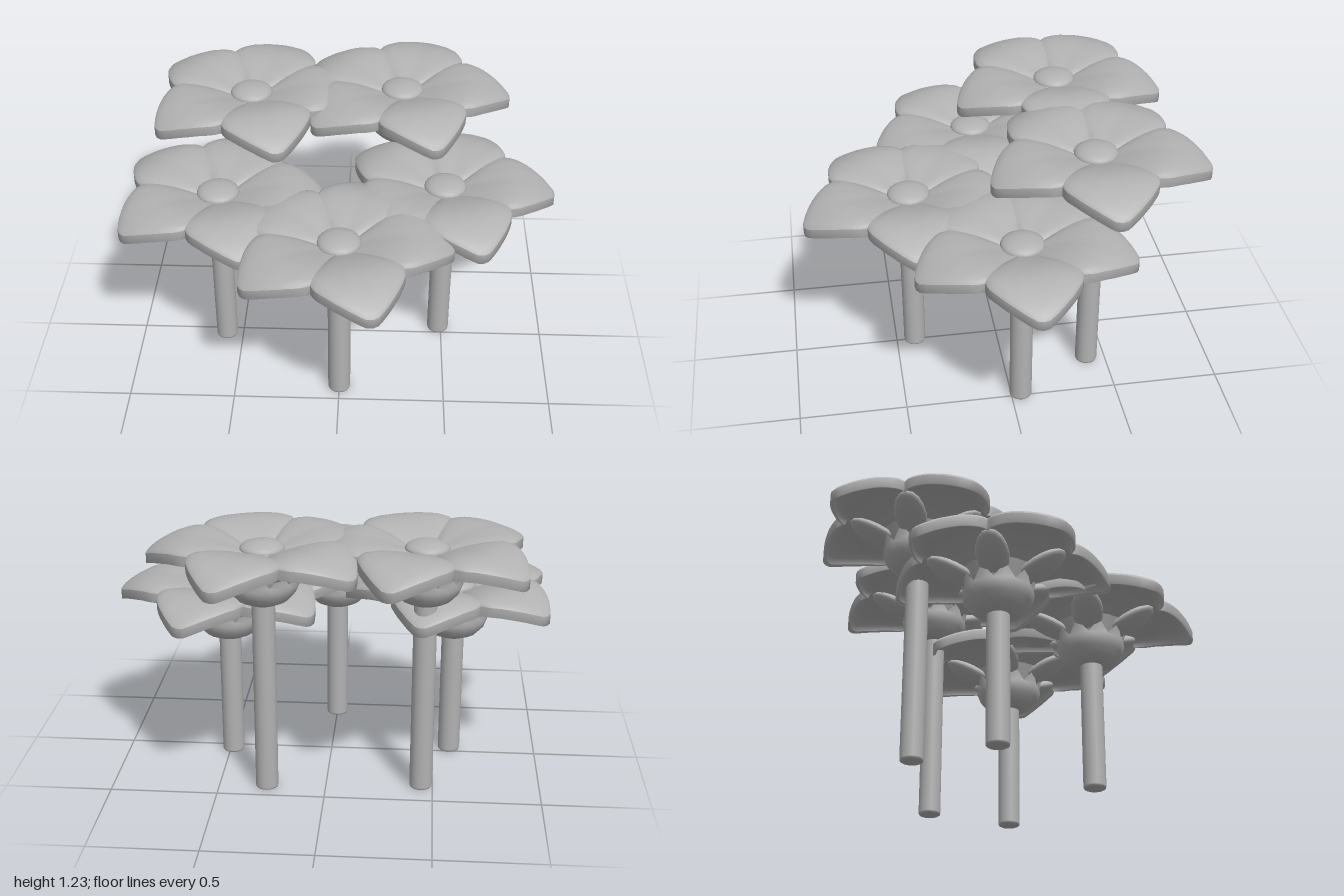
import * as THREE from 'three';
import { mergeVertices } from 'three/addons/utils/BufferGeometryUtils.js';

const grey = new THREE.MeshStandardMaterial({ color: 0xb2b2b2, side: THREE.DoubleSide });
grey.name = 'plain grey';

const HALF = Math.PI / 5; // half the angle of one petal
const V = (x, y) => new THREE.Vector2(x, y);

// Linear lookup in a short list of [input, output] pairs
function lookup(table, v) {
  for (let i = 1; i < table.length; i++) {
    const [a, p] = table[i - 1], [b, q] = table[i];
    if (v <= b) return p + (q - p) * Math.max(0, (v - a) / (b - a));
  }
  return table[table.length - 1][1];
}

// Petal outline: radius by degrees away from the petal's middle
const outline = [[0, 0.515], [3, 0.511], [8, 0.487], [15, 0.454], [25, 0.412], [32, 0.385], [36, 0.358]];
// Height of the petal's upper face by radius
const crown = [[0.08, 0.862], [0.14, 0.886], [0.2, 0.906], [0.26, 0.919], [0.32, 0.925],
  [0.37, 0.918], [0.42, 0.902], [0.47, 0.878], [0.515, 0.85]];

// A patch of one petal: rows are [fraction of the way to the edge, drop below the upper face]
function petalPatch(rows, columns = 24) {
  const pos = [], index = [];
  rows.forEach(([f, drop], i) => {
    for (let j = 0; j <= columns; j++) {
      const u = (j / columns) * 2 - 1, t = u * HALF;
      const R = lookup(outline, Math.abs(u) * 36);
      const r = 0.08 + (R - 0.08) * f;
      const y = lookup(crown, r) - drop - 0.016 * Math.pow(Math.abs(u), 4);
      pos.push(r * Math.cos(t), y, r * Math.sin(t));
      if (i && j) {
        const d = i * (columns + 1) + j, c = d - 1, b = d - columns - 1, a = b - 1;
        index.push(a, b, d, a, d, c);
      }
    }
  });
  const g = new THREE.BufferGeometry();
  g.setAttribute('position', new THREE.Float32BufferAttribute(pos, 3));
  g.setIndex(index);
  // wind the faces so that the upper face looks up
  for (let k = 0; k < index.length; k += 3) [index[k + 1], index[k + 2]] = [index[k + 2], index[k + 1]];
  g.setIndex(index);
  g.computeVertexNormals();
  return g;
}

const petalTop = petalPatch([[0, 0], [0.15, 0], [0.3, 0], [0.45, 0], [0.6, 0], [0.75, 0], [0.88, 0], [0.97, 0.003], [1, 0.012]]);
const petalRim = petalPatch([[1, 0.012], [1, 0.058], [0.96, 0.06]]);
const petalUnder = petalPatch([[0.96, 0.06], [0.93, 0.035], [0.8, 0.035], [0.6, 0.045], [0.4, 0.055], [0.2, 0.07], [0, 0.085]]);

// Bulb whose upper edge is cut into ten points
function bulbGeometry() {
  const profile = [V(0, 0.615), V(0.07, 0.617), V(0.115, 0.638), V(0.148, 0.674), V(0.163, 0.712), V(0.157, 0.733), V(0.155, 0.735)];
  const g = new THREE.LatheGeometry(profile, 20);
  const p = g.attributes.position, n = profile.length;
  for (let s = 0; s <= 20; s += 2) {
    const i = s * n + n - 1, a = (s / 20) * Math.PI * 2;
    p.setXYZ(i, 0.172 * Math.sin(a), 0.795, 0.172 * Math.cos(a));
  }
  g.deleteAttribute('uv');
  g.deleteAttribute('normal');
  const merged = mergeVertices(g);
  merged.computeVertexNormals();
  return merged;
}

const bulb = bulbGeometry();
const cup = new THREE.CylinderGeometry(0.17, 0.12, 0.12, 20, 1, true);
const dome = new THREE.SphereGeometry(0.1, 20, 8, 0, Math.PI * 2, 0, Math.PI / 2);
const leaf = new THREE.SphereGeometry(1, 16, 12);

function part(name, geometry, parent) {
  const m = new THREE.Mesh(geometry, grey);
  m.name = name;
  parent.add(m);
  return m;
}

// One flower at (x, z); lift lengthens the stem
function flower(x, z, lift) {
  const g = new THREE.Group();
  g.name = 'flower';
  g.position.set(x, 0, z);

  const top = 0.65 + lift;
  part('stem', new THREE.LatheGeometry([V(0, 0), V(0.044, 0), V(0.051, 0.004), V(0.053, 0.012), V(0.053, top)], 20), g);

  const head = new THREE.Group();
  head.name = 'flowerHead';
  head.position.y = lift;
  g.add(head);
  part('bulb', bulb, head);
  part('cup', cup, head).position.y = 0.77;
  const d = part('centreDome', dome, head);
  d.position.y = 0.868;
  d.scale.y = 0.38;

  for (let i = 0; i < 5; i++) {
    const petal = new THREE.Group();
    petal.name = 'petal';
    petal.rotation.y = i * HALF * 2;
    part('petalTop', petalTop, petal);
    part('petalRim', petalRim, petal);
    part('petalUnderside', petalUnder, petal);
    head.add(petal);

    // small spoon-shaped leaf beneath each seam
    const arm = new THREE.Group();
    arm.name = 'underLeaf';
    arm.rotation.y = (i * 2 + 1) * HALF;
    const l = part('underLeafBlade', leaf, arm);
    l.position.set(0.205, 0.815, 0);
    l.rotation.z = 0.42;
    l.scale.set(0.13, 0.034, 0.075);
    head.add(arm);
  }
  return g;
}

export function createModel() {
  const model = new THREE.Group();
  model.name = 'flowerCluster';
  const places = [
    [-0.58, 0.037, 0], [0, 0.41, 0], [0.485, -0.045, 0], // low flowers
    [-0.445, -0.358, 0.31], [0.275, -0.408, 0.31], // tall flowers
  ];
  for (const [x, z, lift] of places) model.add(flower(x, z, lift));
  return model;
}
